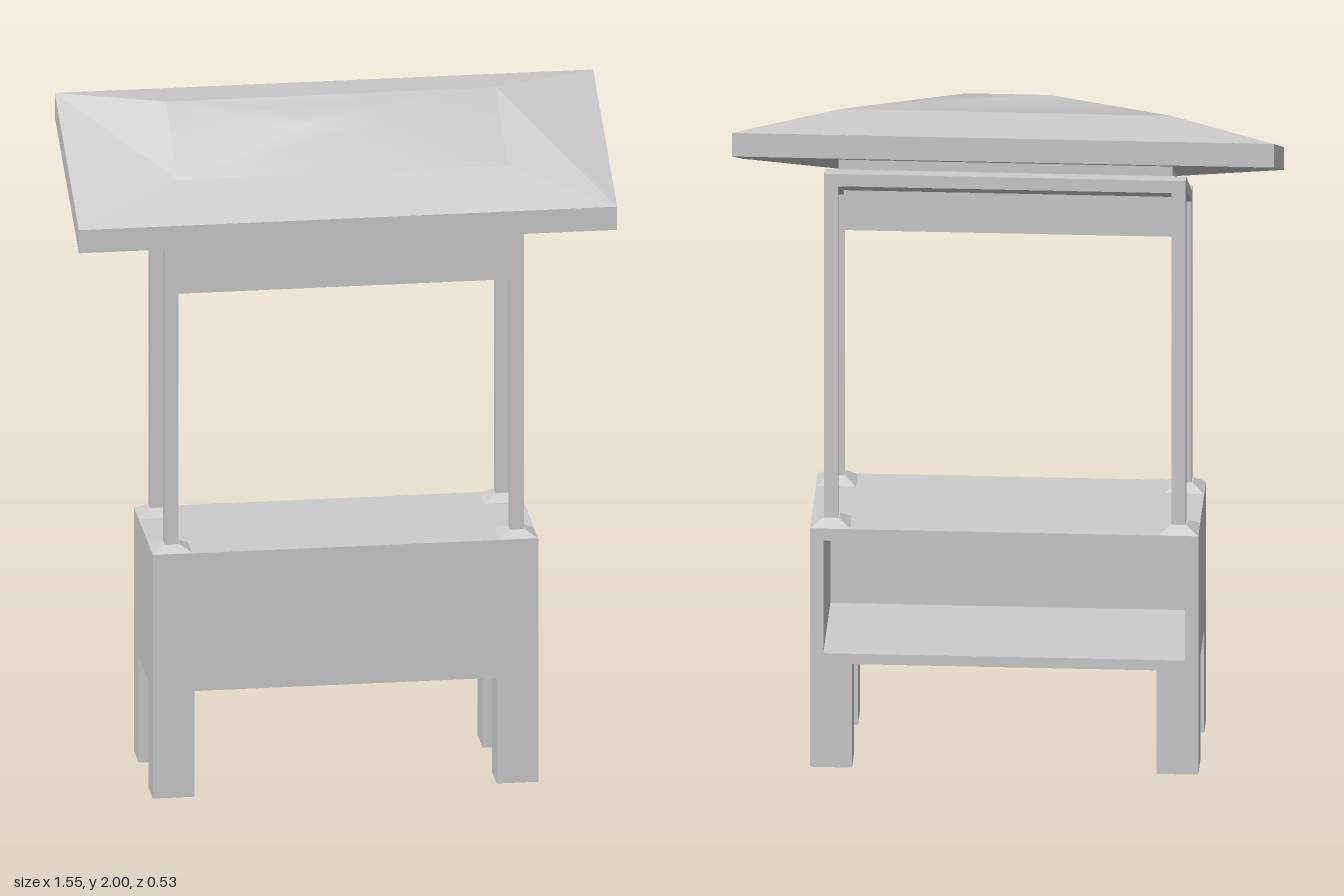
import * as THREE from 'three';

const material = new THREE.MeshStandardMaterial({ color: 0xcccccc });

// Box given by its extents along x, y and z
function block(parent, name, [x0, x1], [y0, y1], [z0, z1]) {
  const mesh = new THREE.Mesh(new THREE.BoxGeometry(x1 - x0, y1 - y0, z1 - z0), material);
  mesh.position.set((x0 + x1) / 2, (y0 + y1) / 2, (z0 + z1) / 2);
  mesh.name = name;
  parent.add(mesh);
}

// Skin over tilted rectangles, listed from bottom to top:
// [half width, front z, front y, back z, back y]
function loft(rings, { flat = true, capBottom = false, capTop = false }) {
  const points = [];
  const index = [];
  for (const [w, zf, yf, zb, yb] of rings) {
    points.push(-w, yf, zf, w, yf, zf, w, yb, zb, -w, yb, zb);
  }
  for (let r = 0; r < rings.length - 1; r++) {
    for (let i = 0; i < 4; i++) {
      const a = r * 4 + i, b = r * 4 + (i + 1) % 4;
      index.push(a, b, b + 4, a, b + 4, a + 4);
    }
  }
  if (capBottom) index.push(0, 2, 1, 0, 3, 2);
  const t = (rings.length - 1) * 4;
  if (capTop) index.push(t, t + 1, t + 2, t, t + 2, t + 3);
  let geometry = new THREE.BufferGeometry();
  geometry.setAttribute('position', new THREE.Float32BufferAttribute(points, 3));
  geometry.setIndex(index);
  if (flat) geometry = geometry.toNonIndexed();
  geometry.computeVertexNormals();
  return geometry;
}

function add(parent, name, geometry) {
  const mesh = new THREE.Mesh(geometry, material);
  mesh.name = name;
  parent.add(mesh);
  return mesh;
}

export function createModel() {
  const model = new THREE.Group();
  model.name = 'marketStall';

  // Cabinet, open at the back
  const cabinet = new THREE.Group();
  cabinet.name = 'cabinet';
  model.add(cabinet);
  const W = 0.555, F = 0.21, B = -0.205;
  block(cabinet, 'counterTop', [-W, W], [0.7, 0.737], [B, F]);
  block(cabinet, 'cabinetFloor', [-W, W], [0.32, 0.352], [B, F]);
  block(cabinet, 'frontPanel', [-W, W], [0.352, 0.7], [F - 0.04, F]);

  for (const [side, s] of [['left', 1], ['right', -1]]) {
    const span = (a, b) => (s > 0 ? [a, b] : [-b, -a]);
    block(cabinet, side + 'SidePanel', span(W - 0.038, W), [0.352, 0.7], [B, F - 0.04]);

    // Legs, posts and their tapered feet
    const corners = [
      ['Front', [0.11, F], [0.147, 0.182], 1.66],
      ['Back', [B, -0.1], [-0.17, -0.135], 1.82],
    ];
    for (const [end, legZ, postZ, top] of corners) {
      block(model, side + end + 'Leg', span(0.435, W), [0, 0.32], legZ);
      block(model, side + end + 'Post', span(0.477, 0.517), [0.737, top], postZ);
      const foot = add(model, side + end + 'PostFoot', loft([
        [0.056, legZ[1] - 0.003, 0.737, legZ[0] + 0.003, 0.737],
        [0.024, postZ[1] + 0.003, 0.757, postZ[0] - 0.003, 0.757],
      ], { capTop: true }));
      foot.position.x = s * 0.497;
    }

    // Sloping rail joining the front and back posts
    const profile = new THREE.Shape([
      new THREE.Vector2(0.147, 1.625), new THREE.Vector2(0.147, 1.66),
      new THREE.Vector2(-0.135, 1.82), new THREE.Vector2(-0.135, 1.782),
    ]);
    const rail = new THREE.ExtrudeGeometry(profile, { depth: 0.04, bevelEnabled: false });
    rail.rotateY(-Math.PI / 2).translate(0.02, 0, 0);
    add(model, side + 'SlopingRail', rail).position.x = s * 0.497;
  }

  // Beams between the posts
  block(model, 'frontBeam', [-0.477, 0.477], [1.515, 1.66], [0.147, 0.182]);
  block(model, 'backBeam', [-0.477, 0.477], [1.782, 1.82], [-0.17, -0.135]);

  // Tilted roof: neck, flared underside, rim and hipped slopes
  const roof = new THREE.Group();
  roof.name = 'roof';
  model.add(roof);
  const shoulder = [0.475, 0.14, 1.845, -0.108, 1.995];
  add(roof, 'roofShell', loft([
    [0.477, 0.107, 1.655, -0.135, 1.795],
    [0.477, 0.107, 1.72, -0.135, 1.85],
    [0.775, 0.265, 1.68, -0.265, 1.907],
    [0.775, 0.265, 1.75, -0.265, 1.98],
    shoulder,
  ], { capBottom: true }));
  // Softly shaded crown
  add(roof, 'roofCrown', loft([shoulder, [0.12, 0.075, 1.968, 0.017, 2.0]], { flat: false, capTop: true }));

  return model;
}
